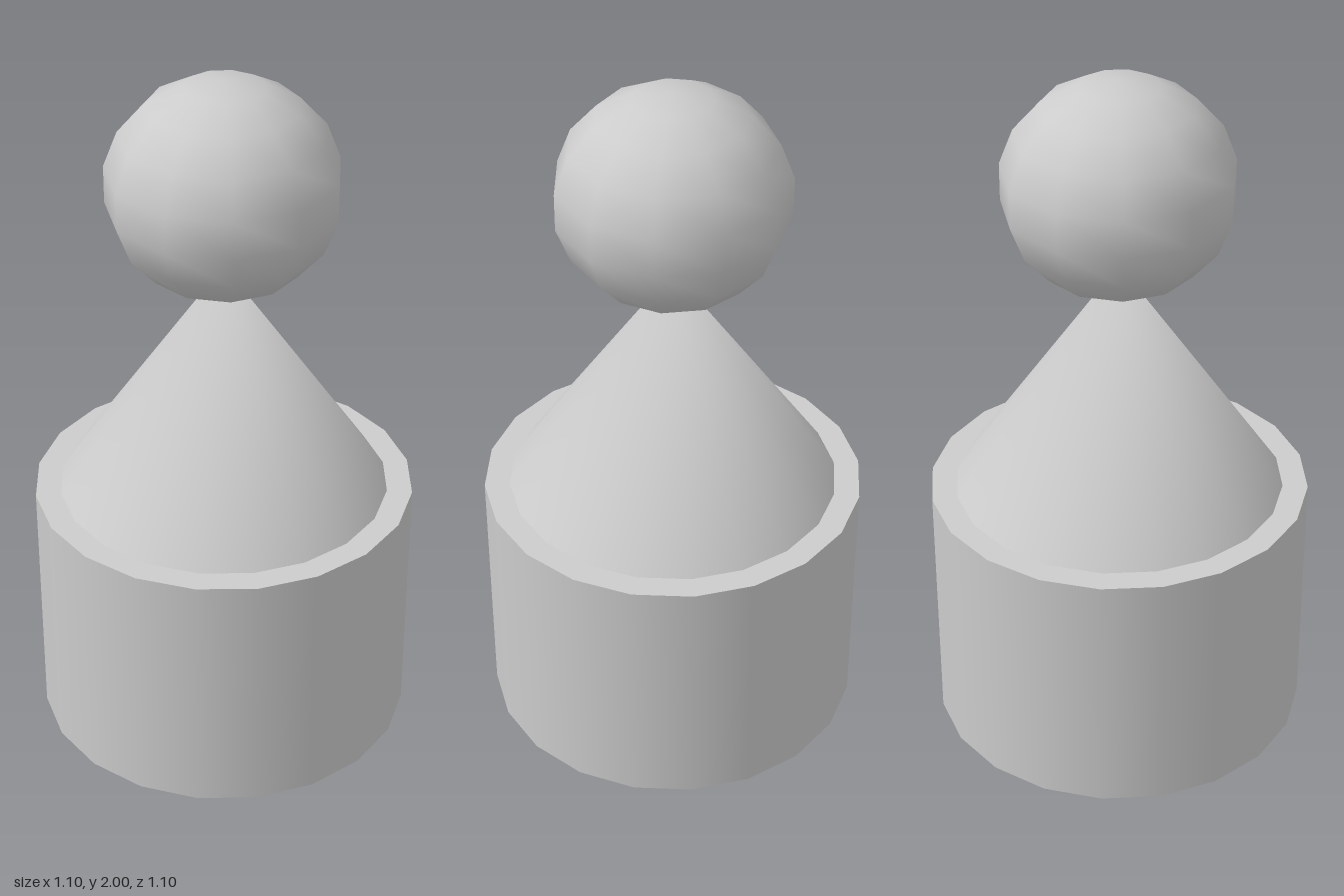
import * as THREE from 'three';

const material = new THREE.MeshStandardMaterial({ color: 0xcccccc });

function addPart(group, name, geometry, y) {
  const mesh = new THREE.Mesh(geometry, material);
  mesh.name = name;
  mesh.position.y = y;
  group.add(mesh);
  return mesh;
}

export function createModel() {
  const group = new THREE.Group();
  group.name = 'pawn';

  const baseHeight = 0.75;
  const coneHeight = 0.7;

  // Drum-shaped base
  addPart(group, 'base', new THREE.CylinderGeometry(0.55, 0.55, baseHeight, 20), baseHeight / 2);

  // Cone body, its shading rounded off towards the tip
  const cone = new THREE.ConeGeometry(0.477, coneHeight, 20);
  const { position, normal } = cone.attributes;
  for (let i = 0; i < position.count; i++) {
    if (position.getY(i) > 0) normal.setXYZ(i, 0, 1, 0);
  }
  addPart(group, 'body', cone, baseHeight + coneHeight / 2);

  // Slightly flattened ball head
  const ball = new THREE.SphereGeometry(0.33, 11, 9);
  ball.rotateY(Math.PI);
  ball.scale(1, 0.31 / 0.33, 1);
  addPart(group, 'head', ball, 1.69);

  return group;
}
